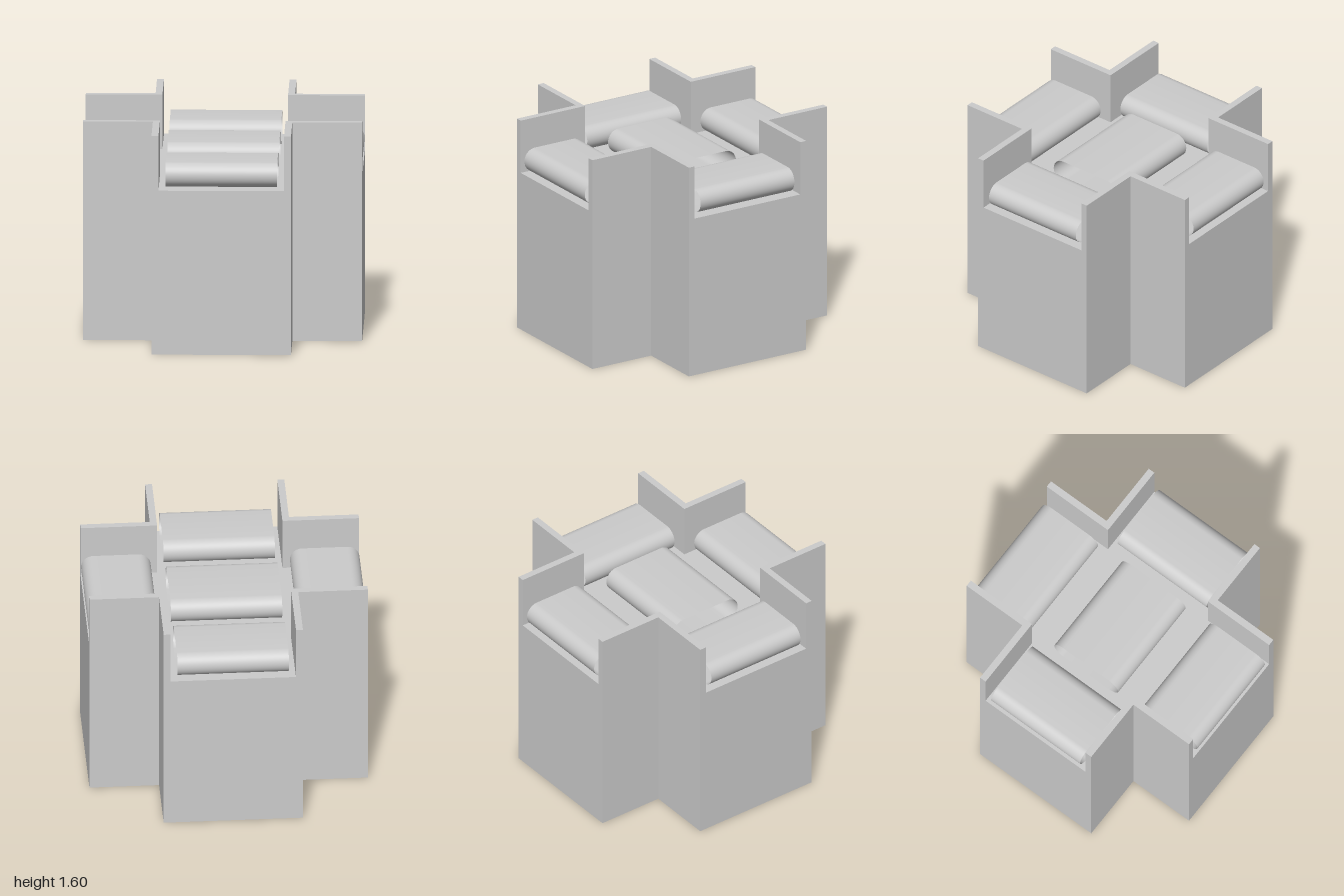
import * as THREE from 'three';

const material = new THREE.MeshStandardMaterial({ color: 0xcccccc, side: THREE.DoubleSide });

const ARM = 0.5;     // half width of an arm
const INNER = 0.45;  // inner face of the raised walls
const FLOOR = 1.2;
const TOP = 1.6;

function add(parent, name, geometry) {
  const mesh = new THREE.Mesh(geometry, material);
  mesh.name = name;
  parent.add(mesh);
  return mesh;
}

function shapeOf(points) {
  return new THREE.Shape(points.map(([x, y]) => new THREE.Vector2(x, y)));
}

// Flat polygon given in (x, -z), laid at height y and facing up
function slab(points, y) {
  return new THREE.ShapeGeometry(shapeOf(points)).rotateX(-Math.PI / 2).translate(0, y, 0);
}

// Open-ended bolster along x: a tube whose two halves are pulled apart in z
function bolster(depth) {
  const r = 0.089, segments = 64;
  const geometry = new THREE.CylinderGeometry(r, r, 0.8, segments, 1, true, Math.PI / segments);
  const p = geometry.attributes.position;
  for (let i = 0; i < p.count; i++) {
    p.setZ(i, p.getZ(i) + Math.sign(p.getZ(i)) * (depth / 2 - r));
  }
  return geometry.rotateZ(Math.PI / 2);
}

export function createModel() {
  const model = new THREE.Group();
  model.name = 'crossShapedSeat';

  // Cross-shaped deck over the hollow base
  const cross = [];
  for (let i = 0; i < 4; i++) {
    const c = Math.round(Math.cos(i * Math.PI / 2)), s = Math.round(Math.sin(i * Math.PI / 2));
    for (const [x, y] of [[1, -ARM], [1, ARM], [ARM, ARM]]) cross.push([x * c - y * s, x * s + y * c]);
  }
  add(model, 'deck', slab(cross, FLOOR));

  // Four identical arms
  for (let i = 0; i < 4; i++) {
    const arm = new THREE.Group();
    arm.name = 'arm';
    arm.rotation.y = i * Math.PI / 2;
    model.add(arm);

    // End panel with the notch between the raised walls
    add(arm, 'endPanel', new THREE.ShapeGeometry(shapeOf([
      [-ARM, 0], [ARM, 0], [ARM, TOP], [INNER, TOP],
      [INNER, FLOOR], [-INNER, FLOOR], [-INNER, TOP], [-ARM, TOP],
    ])).translate(0, 0, 1));

    // Outer side panels and inner faces of the raised walls
    for (const side of [-1, 1]) {
      const outer = new THREE.PlaneGeometry(1 - ARM, TOP);
      add(arm, 'sidePanel', outer.rotateY(side * Math.PI / 2)
        .translate(side * ARM, TOP / 2, (1 + ARM) / 2));
      const inner = new THREE.PlaneGeometry(1 - INNER, TOP - FLOOR);
      add(arm, 'innerWall', inner.rotateY(-side * Math.PI / 2)
        .translate(side * INNER, (TOP + FLOOR) / 2, (1 + INNER) / 2));
    }

    // L-shaped top edge of the corner wall
    add(arm, 'cornerWallTop', slab([
      [INNER, INNER], [1, INNER], [1, ARM], [ARM, ARM], [ARM, 1], [INNER, 1],
    ], TOP));

    add(arm, 'armCushion', bolster(0.5)).position.set(0, 1.303, 0.75);
  }

  add(model, 'centreCushion', bolster(0.575)).position.y = 1.303;
  return model;
}
